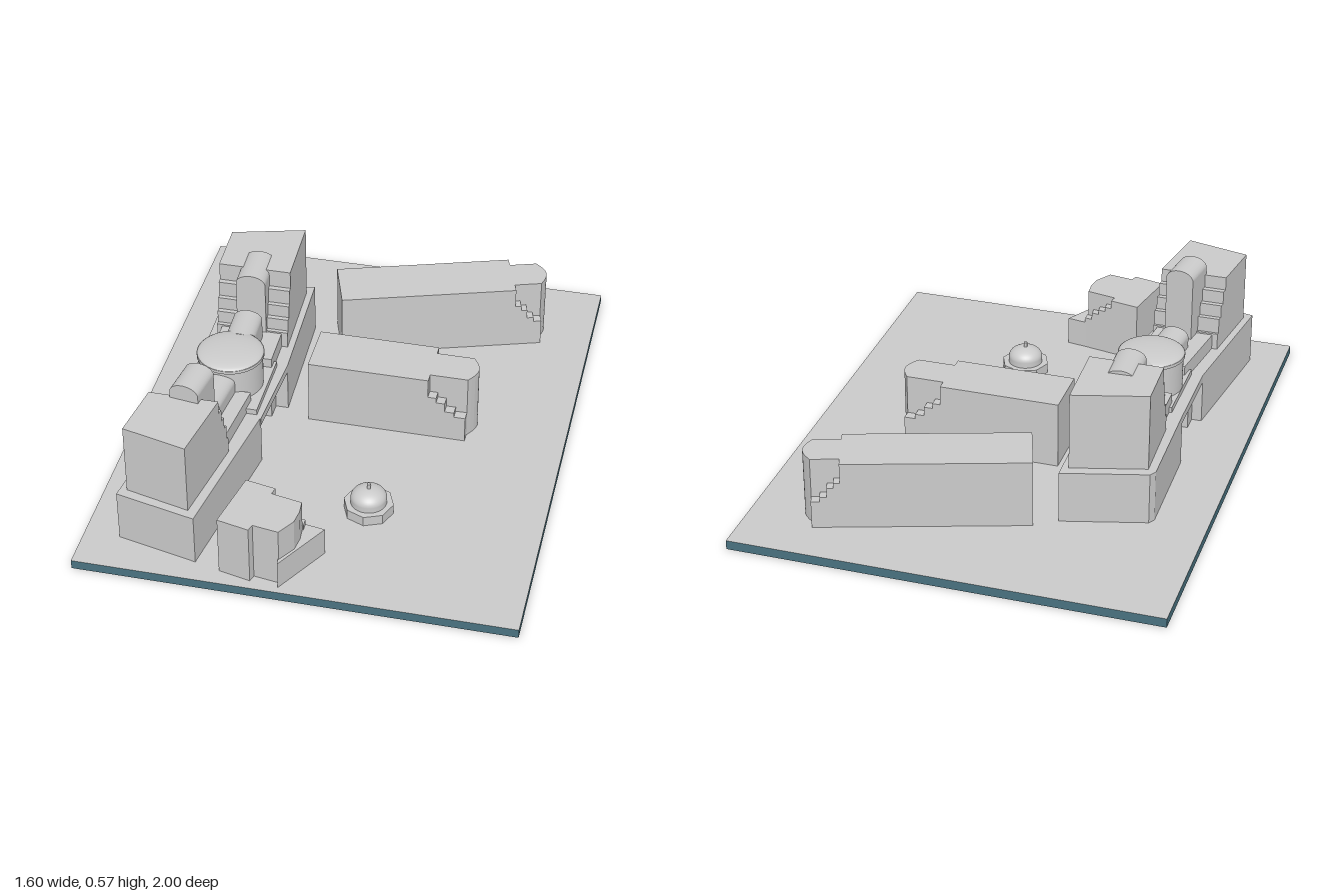
import * as THREE from 'three';

const stone = new THREE.MeshStandardMaterial({ color: 0xcacaca });
stone.name = 'paleStone';
const teal = new THREE.MeshStandardMaterial({ color: 0x4a7280 });
teal.name = 'tealBase';
const GROUND = 0.035;

function add(parent, name, geometry, x = 0, y = 0, z = 0) {
  const mesh = new THREE.Mesh(geometry, stone);
  mesh.name = name;
  mesh.position.set(x, y, z);
  parent.add(mesh);
  return mesh;
}

// Upright prism over a plan of [x, z] corners
function prism(parent, name, plan, y0, y1) {
  const shape = new THREE.Shape(plan.map(([x, z]) => new THREE.Vector2(x, -z)));
  const g = new THREE.ExtrudeGeometry(shape, { depth: y1 - y0, bevelEnabled: false });
  g.rotateX(-Math.PI / 2);
  return add(parent, name, g, 0, y0, 0);
}

function block(parent, name, x0, x1, y0, y1, z0, z1) {
  return prism(parent, name, [[x0, z0], [x1, z0], [x1, z1], [x0, z1]], y0, y1);
}

// Hall with a barrel roof running along z
function vault(parent, name, x, z, width, length, y0, top, turn) {
  const r = width / 2, rise = 0.036, spring = top - y0 - rise;
  const s = new THREE.Shape();
  s.moveTo(-r, 0);
  s.lineTo(r, 0);
  s.lineTo(r, spring);
  s.absellipse(0, spring, r, rise, 0, Math.PI, false);
  const g = new THREE.ExtrudeGeometry(s, { depth: length, bevelEnabled: false, curveSegments: 16 });
  g.translate(0, 0, -length / 2);
  add(parent, name, g, x, y0, z).rotation.y = turn;
}

// Tower that steps back in tiers; edges give the side x for any z
function steppedTower(parent, name, back, left, right, y0, steps) {
  let low = y0;
  for (const [z, top] of steps) {
    prism(parent, name, [[left(z), z], [right(z), z], ...back], low, top);
    low = top;
  }
}

// Long wing along +x with stepped flanks and a bowed end
function wing(length, stepStart, name) {
  const g = new THREE.Group();
  g.name = name;
  const h = 0.295, w = 0.105, core = 0.068, run = length - stepStart;
  block(g, 'wingBody', 0, stepStart, GROUND, h, -w, w);
  const end = [[stepStart, -core], [length, -core]];
  for (let i = 1; i < 8; i++) {
    const t = i / 8;
    end.push([length + 0.03 * Math.sin(Math.PI * t), -core + 2 * core * t]);
  }
  end.push([length, core], [stepStart, core]);
  prism(g, 'bowedEnd', end, GROUND, h);
  [0.218, 0.197, 0.16, 0.141].forEach((top, i) => {
    const x0 = stepStart + [0, 0.22, 0.45, 0.7][i] * run;
    const x1 = stepStart + [0.22, 0.45, 0.7, 1][i] * run;
    for (const s of [-1, 1]) {
      block(g, 'flankStep', x0, x1, GROUND, top, Math.min(s * core, s * w), Math.max(s * core, s * w));
    }
  });
  return g;
}

// Smooth cap, a flattened half sphere
function cap(r, rise) {
  return new THREE.SphereGeometry(r, 40, 12, 0, Math.PI * 2, 0, Math.PI / 2).scale(1, rise / r, 1);
}

function buildGatehouse() {
  const g = new THREE.Group();
  g.name = 'gatehouse';

  // podiums either side of the gate
  prism(g, 'northPodium', [[-0.605, -0.42], [-0.59, -0.445], [-0.28, -0.53], [-0.262, -0.01], [-0.598, -0.01]], GROUND, 0.235);
  prism(g, 'southPodium', [[-0.598, 0.31], [-0.282, 0.31], [-0.37, 0.91], [-0.67, 0.84]], GROUND, 0.235);
  block(g, 'northJamb', -0.56, -0.31, GROUND, 0.21, -0.02, 0.055);
  block(g, 'southJamb', -0.56, -0.31, GROUND, 0.21, 0.245, 0.32);

  // bridge over the gate
  prism(g, 'gateBridge', [[-0.598, -0.02], [-0.262, -0.02], [-0.28, 0.32], [-0.598, 0.32]], 0.203, 0.235);
  block(g, 'bridgeDeck', -0.555, -0.3, 0.235, 0.257, 0, 0.3);

  // terraces below the vaults
  prism(g, 'southTerrace', [[-0.54, 0.25], [-0.335, 0.25], [-0.365, 0.56], [-0.585, 0.56]], 0.235, 0.294);
  prism(g, 'northTerrace', [[-0.545, -0.25], [-0.315, -0.25], [-0.31, 0.04], [-0.545, 0.04]], 0.235, 0.294);

  // stepped towers
  steppedTower(g, 'southTower', [[-0.40, 0.87], [-0.64, 0.81]],
    z => -0.565 - (z - 0.27) * 0.139, z => -0.31 - (z - 0.3) * 0.158, 0.235,
    [[0.525, 0.30], [0.535, 0.36], [0.553, 0.41], [0.572, 0.46], [0.593, 0.512]]);
  steppedTower(g, 'northTower', [[-0.303, -0.485], [-0.575, -0.41]],
    z => -0.561 + z * 0.034, z => -0.285 + z * 0.037, 0.235,
    [[-0.125, 0.30], [-0.14, 0.35], [-0.158, 0.40], [-0.175, 0.46], [-0.195, 0.531]]);

  // barrel vaults stepping up from the dome
  vault(g, 'southLowVault', -0.452, 0.325, 0.108, 0.17, 0.25, 0.37, -0.1);
  vault(g, 'southHighVault', -0.466, 0.543, 0.108, 0.14, 0.25, 0.575, -0.14);
  vault(g, 'northLowVault', -0.43, -0.015, 0.108, 0.15, 0.25, 0.41, 0.03);
  vault(g, 'northHighVault', -0.43, -0.205, 0.112, 0.17, 0.25, 0.545, 0.03);

  // round drum and shallow dome
  add(g, 'domeDrum', new THREE.CylinderGeometry(0.119, 0.119, 0.155, 48), -0.435, 0.3125, 0.15);
  add(g, 'domeEave', new THREE.CylinderGeometry(0.125, 0.125, 0.012, 48), -0.435, 0.388, 0.15);
  add(g, 'dome', cap(0.124, 0.024), -0.435, 0.392, 0.15);
  return g;
}

function buildCornerHouse() {
  const g = new THREE.Group();
  g.name = 'cornerHouse';
  prism(g, 'houseBody', [[-0.233, 0.705], [-0.12, 0.728], [-0.127, 0.757], [-0.012, 0.78], [-0.008, 0.83],
    [-0.015, 0.885], [-0.055, 0.95], [-0.15, 0.935], [-0.158, 0.962], [-0.277, 0.935]], GROUND, 0.27);
  // steps descending along the back wall
  [0.235, 0.215, 0.195, 0.165].forEach((top, i) => {
    const x0 = -0.122 + i * 0.0285, x1 = x0 + 0.0285;
    const z = x => 0.728 + (x + 0.12) * 0.2;
    prism(g, 'houseStep', [[x0, z(x0)], [x1, z(x1)], [x1, z(x1) + 0.032], [x0, z(x0) + 0.032]], GROUND, top);
  });
  prism(g, 'lowWedge', [[-0.01, 0.75], [0.065, 0.763], [-0.055, 0.975], [-0.06, 0.94], [-0.016, 0.88]], GROUND, 0.145);
  return g;
}

function buildKiosk() {
  const g = new THREE.Group();
  g.name = 'domedKiosk';
  g.position.set(0.165, 0, 0.5);
  add(g, 'octagonBase', new THREE.CylinderGeometry(0.092, 0.092, 0.039, 8).toNonIndexed(), 0, 0.0545, 0);
  add(g, 'kioskDrum', new THREE.CylinderGeometry(0.066, 0.066, 0.022, 32), 0, 0.085, 0);
  add(g, 'kioskDome', cap(0.066, 0.042), 0, 0.095, 0);
  add(g, 'finial', new THREE.CylinderGeometry(0.007, 0.007, 0.026, 12), 0, 0.143, 0);
  // flat facets on the octagon
  g.children[0].geometry.computeVertexNormals();
  return g;
}

export function createModel() {
  const model = new THREE.Group();
  model.name = 'buildingComplex';

  // base slab with a paved top face
  const base = new THREE.Mesh(new THREE.BoxGeometry(1.6, GROUND, 2), [teal, teal, stone, teal, teal, teal]);
  base.name = 'baseSlab';
  base.position.y = GROUND / 2;
  model.add(base);

  const middle = wing(0.6, 0.457, 'middleWing');
  middle.position.set(-0.17, 0, -0.066);
  const north = wing(0.785, 0.68, 'northWing');
  north.position.set(-0.17, 0, -0.485);
  north.rotation.y = 0.318;

  model.add(buildGatehouse(), middle, north, buildCornerHouse(), buildKiosk());
  return model;
}
